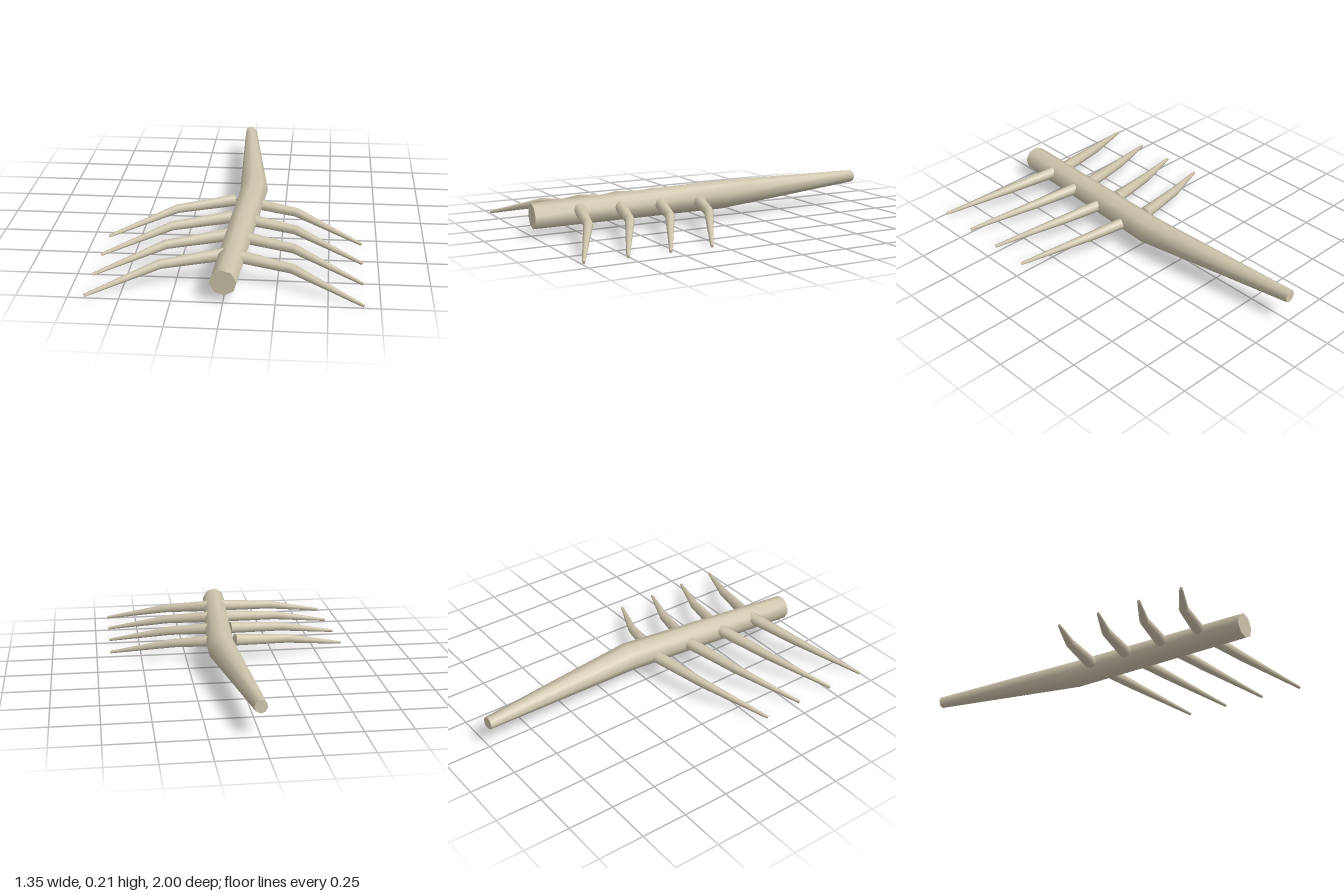
import * as THREE from 'three';
import { mergeGeometries } from 'three/addons/utils/BufferGeometryUtils.js';

// Tapered, capped limb through points of [x, y, z, radius], with rings mitred at the bends
function limb(points, sides, phase) {
  const centres = points.map(p => new THREE.Vector3(p[0], p[1], p[2]));
  const direction = i => centres[i + 1].clone().sub(centres[i]).normalize();
  const last = points.length - 1;
  const rings = centres.map((centre, i) => {
    const t = direction(Math.min(i, last - 1));
    if (i > 0 && i < last) t.add(direction(i - 1)).normalize();
    const u = new THREE.Vector3(0, 1, 0).addScaledVector(t, -t.y).normalize();
    const v = t.clone().cross(u);
    return Array.from({ length: sides }, (_, j) => {
      const a = phase + (j / sides) * Math.PI * 2;
      return centre.clone()
        .addScaledVector(u, Math.cos(a) * points[i][3])
        .addScaledVector(v, Math.sin(a) * points[i][3]);
    });
  });

  const build = (verts, index) => {
    const g = new THREE.BufferGeometry().setFromPoints(verts);
    g.setIndex(index);
    g.computeVertexNormals();
    return g;
  };
  const wall = [];
  for (let i = 0; i < last; i++) {
    for (let j = 0; j < sides; j++) {
      const a = i * sides + j, b = i * sides + (j + 1) % sides;
      wall.push(a, b, a + sides, b, b + sides, a + sides);
    }
  }
  const start = [], end = [];
  for (let j = 1; j < sides - 1; j++) {
    start.push(0, j + 1, j);
    end.push(0, j, j + 1);
  }
  return mergeGeometries([build(rings.flat(), wall), build(rings[0], start), build(rings[last], end)]);
}

export function createModel() {
  const model = new THREE.Group();
  model.name = 'ribbedSpine';
  const bone = new THREE.MeshStandardMaterial({ color: 0xcdc4ab });
  bone.name = 'bone';

  // Bent spine, thickest at the bend
  const spine = new THREE.Mesh(limb([
    [0, 0.107, 0.993, 0.067],
    [0.078, 0.139, -0.07, 0.078],
    [0, 0.155, -0.997, 0.034],
  ], 8, -0.12), bone);
  spine.name = 'spine';
  model.add(spine);

  // Four mirrored pairs of bent ribs sweeping forward and down
  for (let i = 0; i < 4; i++) {
    const z = 0.065 + i * 0.2265;
    for (const side of [1, -1]) {
      const rib = new THREE.Mesh(limb([
        [side * 0.015, 0.137, z, 0.034],
        [side * 0.325, 0.107, z + 0.075, 0.025],
        [side * 0.67, 0.011, z + 0.247, 0.008],
      ], 8, 0), bone);
      rib.name = (side > 0 ? 'leftRib' : 'rightRib') + (i + 1);
      model.add(rib);
    }
  }
  return model;
}
